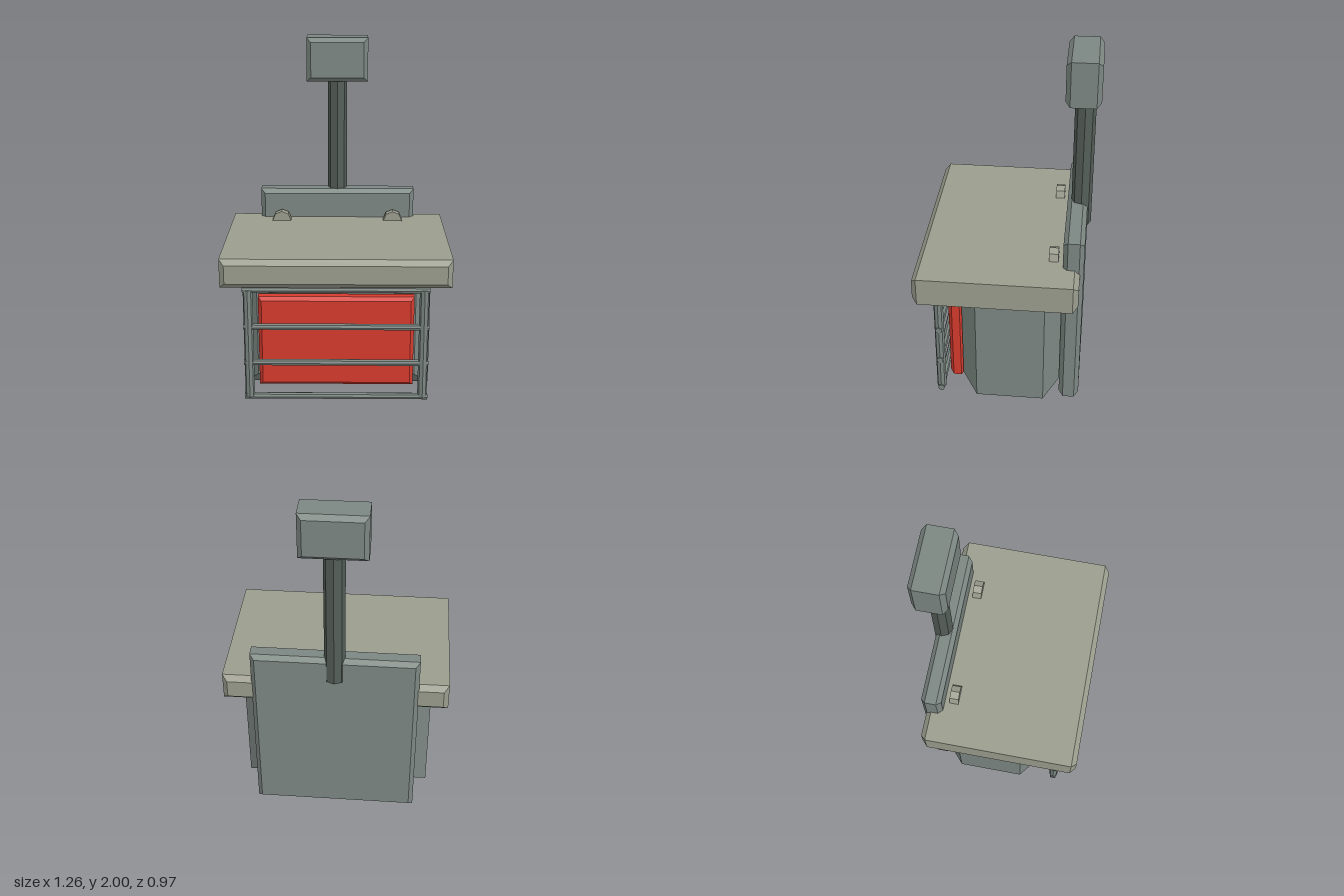
import * as THREE from 'three';

const material = (color) => new THREE.MeshStandardMaterial({ color, flatShading: true });

// Box from ranges in x (symmetric), y and z, with bevelled front and back rims
function bevelBox(name, mat, halfW, [y0, y1], [z0, z1], bevel) {
  const w = halfW - bevel, b = y0 + bevel, t = y1 - bevel;
  const shape = new THREE.Shape([
    new THREE.Vector2(-w, b), new THREE.Vector2(w, b),
    new THREE.Vector2(w, t), new THREE.Vector2(-w, t),
  ]);
  const geometry = new THREE.ExtrudeGeometry(shape, {
    depth: z1 - z0 - 2 * bevel, bevelEnabled: true, bevelSegments: 1,
    bevelSize: bevel, bevelThickness: bevel,
  });
  geometry.translate(0, 0, z0 + bevel);
  const mesh = new THREE.Mesh(geometry, mat);
  mesh.name = name;
  return mesh;
}

// Eight-sided bar centred on a point, along axis x, y or z
function bar(name, mat, radius, length, axis, x, y, z) {
  const geometry = new THREE.CylinderGeometry(radius, radius, length, 8);
  if (axis === 'x') geometry.rotateZ(Math.PI / 2);
  if (axis === 'z') geometry.rotateX(Math.PI / 2);
  const mesh = new THREE.Mesh(geometry, mat);
  mesh.name = name;
  mesh.position.set(x, y, z);
  return mesh;
}

export function createModel() {
  const model = new THREE.Group();
  model.name = 'counter';
  const steel = material(0x7c8782);
  const dark = material(0x555e58);
  const stone = material(0x9b9d8e);
  const red = material(0xd63a2d);

  // Main bodies
  model.add(
    bevelBox('cabinet', steel, 0.54, [0.04, 0.82], [-0.322, 0.24], 0.088),
    bevelBox('backPanel', steel, 0.465, [0, 1.085], [-0.437, -0.322], 0.025),
    bevelBox('countertop', stone, 0.632, [0.75, 0.912], [-0.417, 0.485], 0.029),
    bevelBox('frontPanel', red, 0.44, [0.095, 0.635], [0.235, 0.32], 0.02),
  );

  // Pole with display head
  model.add(
    bar('pole', dark, 0.058, 0.86, 'y', 0, 1.37, -0.402),
    bevelBox('head', steel, 0.18, [1.745, 2], [-0.487, -0.297], 0.025),
  );

  // Front guard rail: two posts and four crossbars
  const rail = new THREE.Group();
  rail.name = 'guardRail';
  for (const side of [-1, 1]) {
    rail.add(bar('railPost', steel, 0.027, 0.65, 'y', side * 0.49, 0.378, 0.365));
  }
  for (const y of [0.053, 0.262, 0.48, 0.702]) {
    rail.add(bar('railCrossbar', steel, 0.019, 1.04, 'x', 0, y, 0.365));
  }
  model.add(rail);

  // Half-sunk knobs on the countertop
  for (const side of [-1, 1]) {
    model.add(bar('knob', stone, 0.056, 0.052, 'z', side * 0.335, 0.912, -0.269));
  }
  return model;
}
